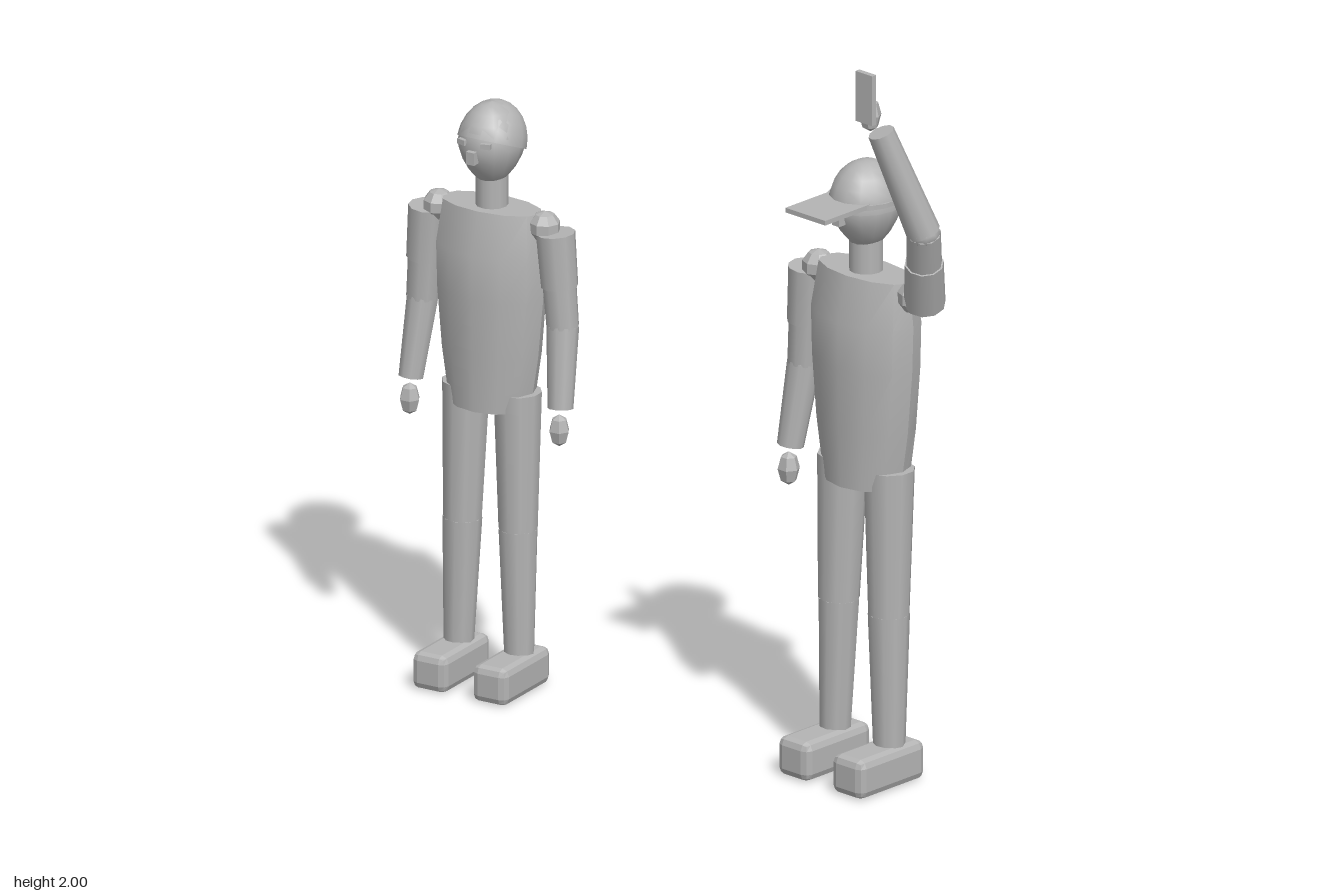
import * as THREE from 'three';
import { toCreasedNormals } from 'three/addons/utils/BufferGeometryUtils.js';
import { RoundedBoxGeometry } from 'three/addons/geometries/RoundedBoxGeometry.js';

const grey = new THREE.MeshStandardMaterial({ color: 0xb4b4b4 });
grey.name = 'plain grey';

const V = (x, y, z) => new THREE.Vector3(x, y, z);

function add(parent, name, geometry, x = 0, y = 0, z = 0) {
  const mesh = new THREE.Mesh(geometry, grey);
  mesh.name = name;
  mesh.position.set(x, y, z);
  parent.add(mesh);
  return mesh;
}

// Faceted copy of a geometry
function faceted(geometry) {
  const g = geometry.index ? geometry.toNonIndexed() : geometry;
  g.computeVertexNormals();
  return g;
}

// Tapered cylinder from point a to point b
function limb(parent, name, a, b, ra, rb, sides = 10) {
  const dir = b.clone().sub(a);
  const mesh = add(parent, name, new THREE.CylinderGeometry(rb, ra, dir.length(), sides));
  mesh.position.copy(a).add(b).multiplyScalar(0.5);
  mesh.quaternion.setFromUnitVectors(V(0, 1, 0), dir.normalize());
  return mesh;
}

// Flat-sided torso lofted from elliptical rings [y, half width, half depth]
function torsoGeometry() {
  const rings = [
    [0.755, 0.115, 0.09], [0.9, 0.138, 0.097], [1.06, 0.153, 0.1],
    [1.18, 0.157, 0.1], [1.293, 0.145, 0.068],
  ];
  const n = 12, pos = [], idx = [];
  rings.forEach(([y, w, d]) => {
    for (let i = 0; i < n; i++) {
      const a = (i / n) * Math.PI * 2;
      pos.push(Math.sin(a) * w, y, Math.cos(a) * d);
    }
  });
  for (let r = 0; r < rings.length - 1; r++) {
    for (let i = 0; i < n; i++) {
      const a = r * n + i, b = r * n + (i + 1) % n;
      idx.push(a, b, b + n, a, b + n, a + n);
    }
  }
  const top = (rings.length - 1) * n;
  for (let i = 1; i < n - 1; i++) {
    idx.push(top, top + i, top + i + 1, 0, i + 1, i);
  }
  const g = new THREE.BufferGeometry();
  g.setAttribute('position', new THREE.Float32BufferAttribute(pos, 3));
  g.setIndex(idx);
  return toCreasedNormals(g, 0.6);
}

// Egg-shaped head, narrowing to the chin
function headGeometry() {
  const g = new THREE.SphereGeometry(1, 14, 10);
  const p = g.attributes.position;
  for (let i = 0; i < p.count; i++) {
    const y = p.getY(i), k = y < 0 ? 1 + 0.25 * y : 1;
    p.setXYZ(i, p.getX(i) * 0.085 * k, y * 0.111, p.getZ(i) * 0.096 * k);
  }
  g.computeVertexNormals();
  return g;
}

function buildArm(body, joints, side) {
  const [shoulder, elbow, wrist, hand] = joints;
  const arm = new THREE.Group();
  arm.name = side + 'Arm';
  limb(arm, 'sleeve', shoulder, shoulder.clone().lerp(elbow, 0.57), 0.051, 0.048);
  limb(arm, 'upperArm', shoulder, elbow, 0.046, 0.042);
  add(arm, 'elbow', new THREE.SphereGeometry(0.041, 10, 6), elbow.x, elbow.y, elbow.z);
  limb(arm, 'forearm', elbow, wrist, 0.042, 0.033);
  const h = add(arm, 'hand', faceted(new THREE.SphereGeometry(1, 6, 4)), hand.x, hand.y, hand.z);
  h.scale.set(0.028, 0.043, 0.028);
  body.add(arm);
}

function buildFigure(name, { cap, raised }) {
  const body = new THREE.Group();
  body.name = name;
  add(body, 'torso', torsoGeometry());
  add(body, 'neck', new THREE.CylinderGeometry(0.042, 0.042, 0.12, 12), 0, 1.33, 0);

  // Head and face
  const head = new THREE.Group();
  head.name = 'head';
  head.position.set(0, 1.461, 0);
  body.add(head);
  add(head, 'skull', headGeometry());
  for (const s of [-1, 1]) {
    add(head, 'eye', new THREE.BoxGeometry(0.026, 0.014, 0.012), s * 0.035, 0.022, 0.087).rotation.y = s * 0.25;
  }
  add(head, 'nose', new THREE.BoxGeometry(0.024, 0.034, 0.022), 0, -0.012, 0.096);

  // Cap with brim, or close-cropped hair
  const shell = new THREE.SphereGeometry(1, 14, 6, 0, Math.PI * 2, 0, Math.PI * 0.5);
  const cover = add(head, cap ? 'capCrown' : 'hair', shell);
  cover.scale.set(0.088, 0.112, 0.099);
  if (cap) {
    cover.position.y = 0.002;
    const band = add(head, 'capBand', new THREE.CylinderGeometry(1, 1, 0.012, 14), 0, 0.022, 0);
    band.scale.set(0.09, 1, 0.1);
    add(head, 'capBrim', new THREE.BoxGeometry(0.132, 0.012, 0.17), 0, 0.024, 0.128);
  } else {
    cover.rotation.x = -0.4;
  }

  for (const s of [-1, 1]) {
    const side = s > 0 ? 'left' : 'right';

    // Leg and shoe
    const hip = V(s * 0.077, 0.8, 0), knee = V(s * 0.083, 0.43, 0.008), ankle = V(s * 0.09, 0.09, 0.014);
    limb(body, side + 'Thigh', hip, knee, 0.063, 0.051);
    limb(body, side + 'Shin', knee, ankle, 0.051, 0.039);
    const shoe = faceted(new RoundedBoxGeometry(0.102, 0.1, 0.23, 1, 0.02));
    add(body, side + 'Shoe', shoe, s * 0.09, 0.05, 0.052);

    // Shoulder and arm
    add(body, side + 'Shoulder', faceted(new THREE.SphereGeometry(0.042, 8, 5)), s * 0.158, 1.262, 0);
    const up = raised && s > 0;
    buildArm(body, up
      ? [V(0.185, 1.25, -0.01), V(0.246, 1.465, 0.058), V(0.189, 1.733, 0.147), V(0.172, 1.78, 0.167)]
      : [V(s * 0.19, 1.252, 0), V(s * 0.209, 1, -0.004), V(s * 0.223, 0.79, 0.03), V(s * 0.223, 0.732, 0.036)],
    side);
    if (up) add(body, 'phone', new THREE.BoxGeometry(0.056, 0.128, 0.014), 0.177, 1.83, 0.188);
  }
  return body;
}

export function createModel() {
  const model = new THREE.Group();
  model.name = 'twoStandingFigures';

  const bare = buildFigure('bareheadedFigure', { cap: false, raised: false });
  bare.position.set(-0.587, 0, -0.15);
  bare.rotation.y = -0.07;

  const capped = buildFigure('cappedFigure', { cap: true, raised: true });
  capped.position.set(0.564, 0, 0);
  capped.rotation.y = -0.28;
  capped.scale.setScalar(1.056);

  model.add(bare, capped);
  return model;
}
